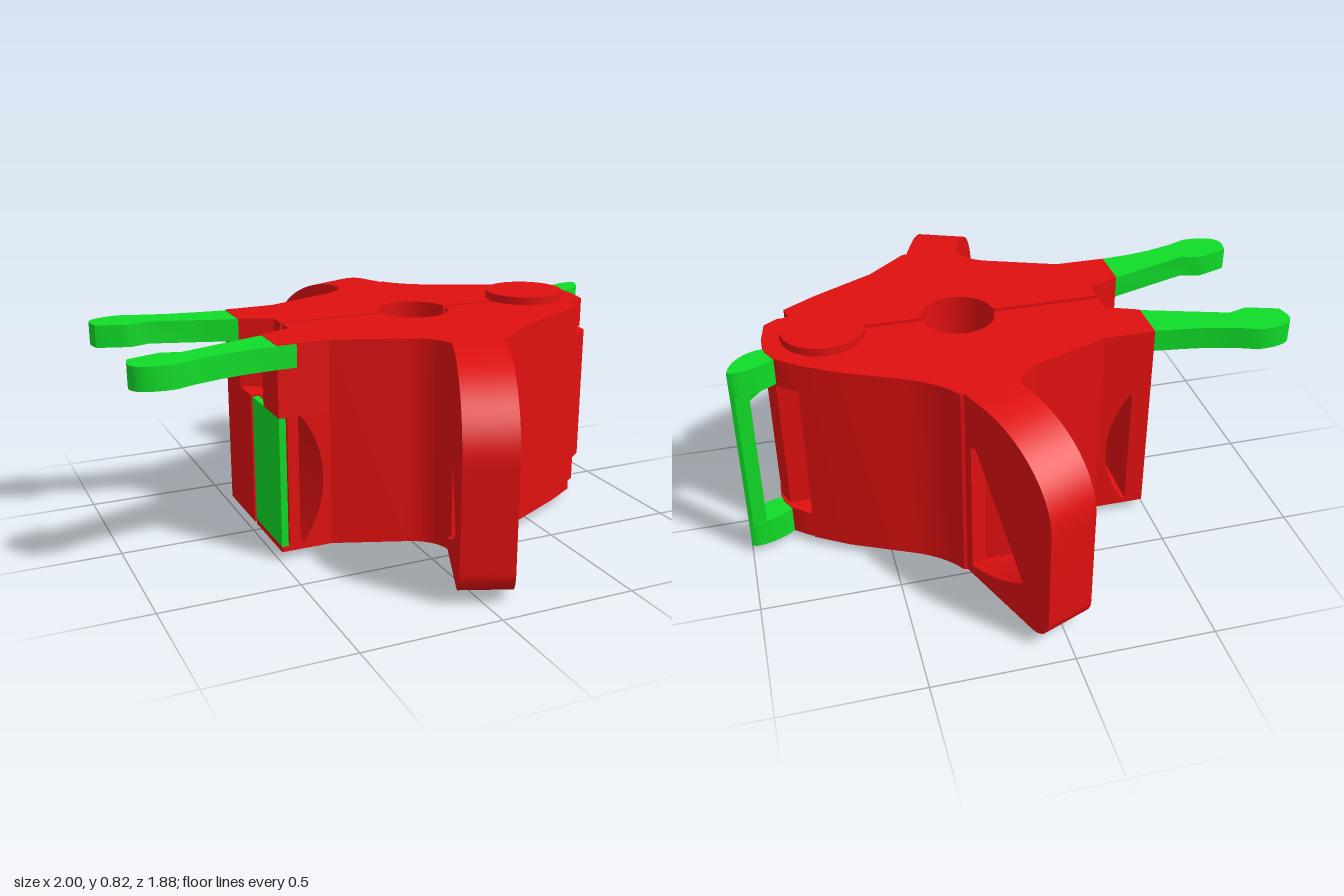
import * as THREE from 'three';
import { toCreasedNormals } from 'three/addons/utils/BufferGeometryUtils.js';

const red = new THREE.MeshStandardMaterial({ color: 0xe01010 });
red.name = 'red plastic';
const green = new THREE.MeshStandardMaterial({ color: 0x10dc28 });
green.name = 'green plastic';

export function createModel() {
  const model = new THREE.Group();
  model.name = 'hinged clamp';

  const add = (name, geometry, material = red) => {
    const mesh = new THREE.Mesh(geometry, material);
    mesh.name = name;
    model.add(mesh);
    return mesh;
  };
  const crease = (g) => toCreasedNormals(g, 0.6);

  // Extrude a plan outline of [x, z] points from y0 to y1
  const slab = (pts, y0, y1) => {
    const shape = new THREE.Shape(pts.map(([x, z]) => new THREE.Vector2(x, -z)));
    const g = new THREE.ExtrudeGeometry(shape, { depth: y1 - y0, bevelEnabled: false });
    g.rotateX(-Math.PI / 2).translate(0, y0, 0);
    return crease(g);
  };
  const box = (x0, x1, y0, y1, z0, z1) =>
    new THREE.BoxGeometry(x1 - x0, y1 - y0, Math.abs(z1 - z0))
      .translate((x0 + x1) / 2, (y0 + y1) / 2, (z0 + z1) / 2);
  const curve = (a, b, c, n = 10) =>
    new THREE.QuadraticBezierCurve(...[a, b, c].map((p) => new THREE.Vector2(...p)))
      .getPoints(n).map((p) => [p.x, p.y]);

  const yBottom = 0.03, yTop = 0.79, gap = 0.01;

  // Half of the round bore, cut into the inner edge of each body half
  const bore = [];
  for (let i = 0; i <= 8; i++) {
    const a = 0.075 + (i / 8) * (Math.PI - 0.15);
    bore.push([0.16 + 0.135 * Math.cos(a), 0.135 * Math.sin(a)]);
  }

  for (const side of [1, -1]) {
    const label = side > 0 ? 'front' : 'back';
    const flip = (pts) => pts.map(([x, z]) => [x, z * side]);

    // Body half
    const shoulder = side > 0
      ? [[0.27, 0.52], [0.42, 0.39]]
      : curve([0.27, 0.51], [0.32, 0.43], [0.42, 0.38]);
    add(label + 'Body', slab(flip([
      [-0.3, gap], [-0.3, 0.29], [-0.05, 0.385],
      ...curve([-0.03, 0.393], [0.06, 0.435], [0.06, 0.53]),
      ...shoulder, [0.65, 0.27], [0.77, 0.195], [0.75, 0.1], [0.75, gap], ...bore,
    ]), yBottom, yTop));

    // Jaw end: flared top, thin floor and a hollow-backed pocket
    add(label + 'JawTop', slab(flip([
      [-0.49, 0.13], [-0.37, 0.08], [-0.37, gap], [-0.3, gap], [-0.3, 0.29], [-0.49, 0.29],
    ]), 0.53, yTop));
    add(label + 'JawFloor', box(-0.49, -0.3, yBottom, 0.05, gap * side, 0.29 * side));
    const pocket = new THREE.Shape();
    pocket.moveTo(-0.41, 0.05);
    pocket.lineTo(-0.3, 0.05);
    pocket.lineTo(-0.3, 0.53);
    pocket.lineTo(-0.41, 0.53);
    pocket.absarc(-0.73, 0.29, 0.4, 0.6435, -0.6435, true);
    const pocketGeo = new THREE.ExtrudeGeometry(pocket, { depth: 0.28, bevelEnabled: false, curveSegments: 20 });
    pocketGeo.translate(0, 0, side > 0 ? gap : -0.29);
    add(label + 'JawPocket', crease(pocketGeo));
    add(label + 'JawWall', box(side > 0 ? -0.46 : -0.49, -0.42, 0.05, 0.53, gap * side, 0.29 * side));

    // Angled fin with a triangular window
    const fin = new THREE.Shape();
    fin.moveTo(0, yBottom);
    fin.lineTo(0.46, yBottom);
    fin.absarc(0.46, 0.12, 0.09, -Math.PI / 2, 0, false);
    fin.lineTo(0.55, 0.49);
    fin.absellipse(0.18, 0.49, 0.37, 0.3, 0, Math.PI / 2, false, 0);
    fin.lineTo(0, yTop);
    const win = new THREE.Path();
    win.moveTo(0.118, 0.59);
    win.lineTo(0.145, 0.6);
    win.lineTo(0.41, 0.2);
    win.quadraticCurveTo(0.28, 0.1, 0.118, 0.07);
    win.closePath();
    fin.holes.push(win);
    const finGeo = new THREE.ExtrudeGeometry(fin, { depth: 0.185, bevelEnabled: false, curveSegments: 16 });
    finGeo.translate(0, 0, -0.0925);
    const finMesh = add(label + 'Fin', crease(finGeo));
    finMesh.position.set(0.204, 0, 0.396 * side);
    finMesh.rotation.y = Math.atan2(-0.925, -0.38) * side;

    // Squeeze handle
    const root = side > 0 ? [[-0.42, 0.15], [-0.42, 0.293], [-0.49, 0.293]] : [[-0.49, 0.285]];
    add(label + 'Handle', slab(flip([
      [-0.49, 0.13], ...root, [-0.6, 0.3], [-0.69, 0.315], [-0.79, 0.342],
      ...curve([-0.86, 0.37], [-1.0, 0.375], [-1.0, 0.3], 8),
      ...curve([-0.99, 0.25], [-0.96, 0.235], [-0.87, 0.21], 5),
      [-0.8, 0.23],
    ]), 0.705, yTop - 0.002), green);
  }

  // Pad on the front jaw
  add('jawPad', box(-0.49, -0.465, 0.05, 0.53, gap, 0.29), green);

  // Hinge: pin, middle knuckle and the two outer knuckles
  add('hingePin', new THREE.CylinderGeometry(0.15, 0.15, 0.82, 32).translate(0.655, 0.41, -0.015));
  add('middleKnuckle', slab([
    [0.7, -0.12], [0.84, -0.12], [0.865, -0.06], [0.865, 0.04], [0.85, 0.13], [0.77, 0.195], [0.7, 0.195],
  ], 0.15, 0.67));
  const outer = [
    [0.7, -0.22], [0.78, -0.185], [0.84, -0.135], [0.865, -0.08], [0.868, 0], [0.85, 0.1], [0.8, 0.135], [0.7, 0.135],
  ];
  add('lowerKnuckle', slab(outer, yBottom, 0.14));
  add('upperKnuckle', slab(outer, 0.68, yTop));

  // Pull loop: two leaf-shaped ends joined by an upright grip
  const leaf = [
    [0.82, -0.11], ...curve([0.84, -0.14], [0.91, -0.19], [0.985, -0.193], 8),
    ...curve([1.0, -0.185], [0.98, -0.09], [0.89, -0.062], 8), [0.83, -0.06],
  ];
  add('loopLowerEnd', slab(leaf, yBottom, 0.135), green);
  add('loopUpperEnd', slab(leaf, 0.69, yTop - 0.002), green);
  add('loopGrip', slab([
    [0.935, -0.183], [0.985, -0.193], [1.0, -0.185], [0.985, -0.147], [0.96, -0.115], [0.935, -0.12],
  ], 0.13, 0.7), green);
  const gusset = new THREE.Shape([[0.885, 0.692], [0.945, 0.645], [0.945, 0.692]].map((p) => new THREE.Vector2(...p)));
  add('loopGusset', new THREE.ExtrudeGeometry(gusset, { depth: 0.05, bevelEnabled: false }).translate(0, 0, -0.165), green);

  return model;
}
